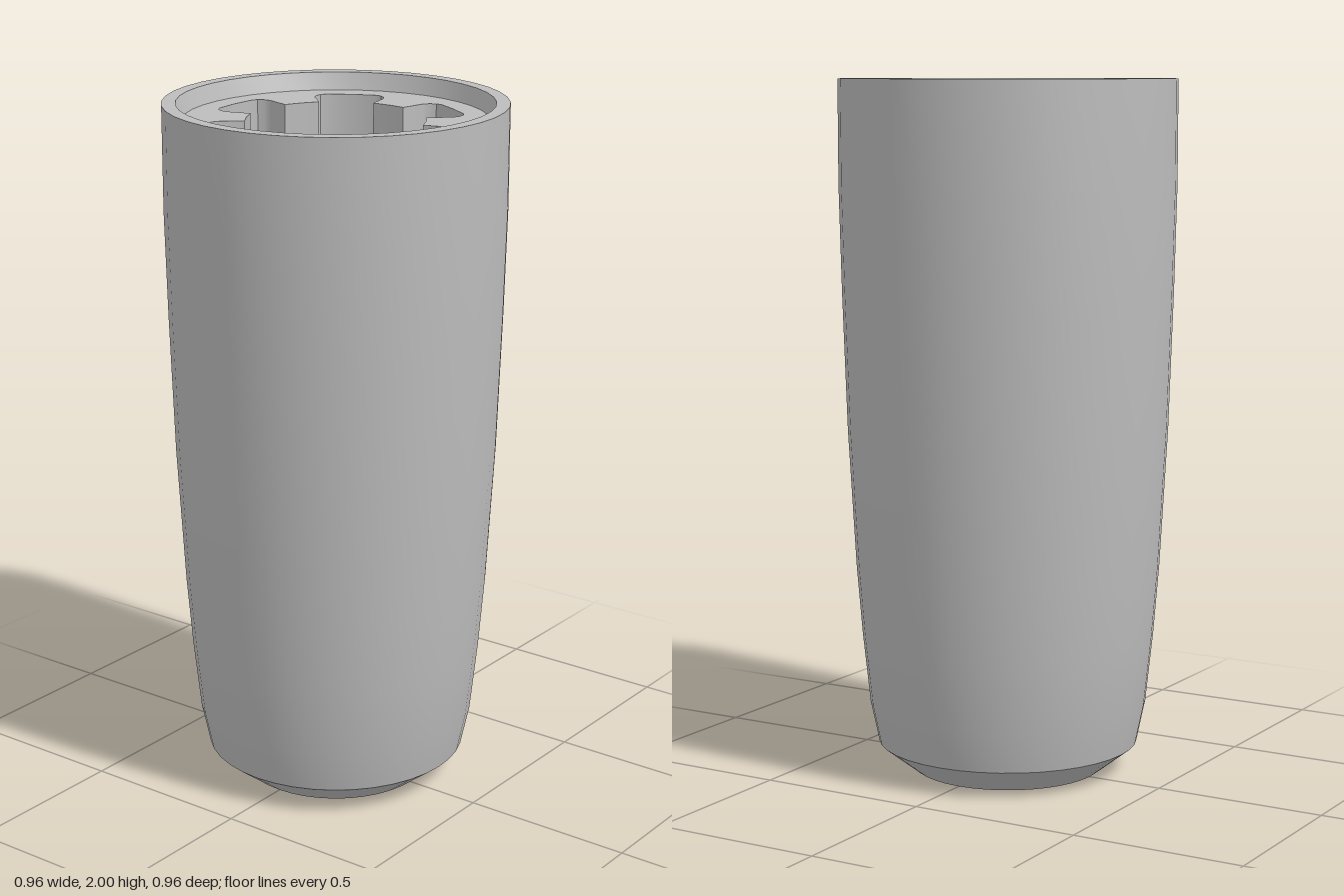
import * as THREE from 'three';
import { toCreasedNormals } from 'three/addons/utils/BufferGeometryUtils.js';

const FLOOR_Y = 1.95; // recessed face below the rim
const SLOT_Y = 0.18; // blind end of the slots
const BORE_R = 0.25;

// Closed counter-clockwise outline: round bore with six flared slots
function slottedOutline() {
  const slot = [
    [0.24, -0.078], [0.31, -0.1], [0.33, -0.098], [0.348, -0.088], [0.357, -0.07], [0.361, 0],
    [0.357, 0.07], [0.348, 0.088], [0.33, 0.098], [0.31, 0.1], [0.24, 0.078],
  ];
  const points = [];
  for (let k = 0; k < 6; k++) {
    const a = Math.PI / 2 + (k * Math.PI) / 3;
    const c = Math.cos(a), s = Math.sin(a);
    for (const [r, t] of slot) points.push(new THREE.Vector2(c * r - s * t, s * r + c * t));
    const rib = a + Math.PI / 6;
    points.push(new THREE.Vector2(Math.cos(rib) * BORE_R, Math.sin(rib) * BORE_R));
  }
  return points;
}

// Inward-facing vertical wall along the outline
function wallGeometry(outline, y0, y1) {
  const pos = [];
  outline.forEach((p, i) => {
    const q = outline[(i + 1) % outline.length];
    const a = [p.x, y0, -p.y], b = [q.x, y0, -q.y];
    const aUp = [p.x, y1, -p.y], bUp = [q.x, y1, -q.y];
    pos.push(...a, ...aUp, ...b, ...b, ...aUp, ...bUp);
  });
  const geo = new THREE.BufferGeometry();
  geo.setAttribute('position', new THREE.Float32BufferAttribute(pos, 3));
  return toCreasedNormals(geo, 0.5);
}

function lathe(profile, sides) {
  const geo = new THREE.LatheGeometry(profile.map(([r, y]) => new THREE.Vector2(r, y)), sides);
  return toCreasedNormals(geo, 0.45);
}

export function createModel() {
  const group = new THREE.Group();
  group.name = 'taperedSleeve';
  const grey = new THREE.MeshStandardMaterial({ color: 0xbcbcbc });
  grey.name = 'grey';
  const add = (name, geo) => {
    const mesh = new THREE.Mesh(geo, grey);
    mesh.name = name;
    group.add(mesh);
  };

  // Tapered outside with chamfered foot
  add('outerShell', lathe([
    [BORE_R, 0], [0.275, 0], [0.378, 0.08], [0.403, 0.2], [0.424, 0.4], [0.44, 0.6],
    [0.462, 1], [0.475, 1.4], [0.482, 1.7], [0.482, 2],
  ], 40));

  // Flat rim and shallow recess wall
  add('topRim', lathe([[0.482, 2], [0.443, 2], [0.428, FLOOR_Y]], 40));

  // Recessed face pierced by the slotted bore
  const outline = slottedOutline();
  const face = new THREE.Shape().absarc(0, 0, 0.43, 0, Math.PI * 2);
  face.holes.push(new THREE.Path(outline));
  add('recessedFace', new THREE.ShapeGeometry(face, 20).rotateX(-Math.PI / 2).translate(0, FLOOR_Y, 0));

  // Slot walls, slot ends and plain bore at the foot
  add('slottedBore', wallGeometry(outline, SLOT_Y, FLOOR_Y));
  add('slotEnds', new THREE.RingGeometry(BORE_R, 0.365, 40).rotateX(-Math.PI / 2).translate(0, SLOT_Y, 0));
  add('lowerBore', lathe([[BORE_R, SLOT_Y], [BORE_R, 0]], 40));

  return group;
}
